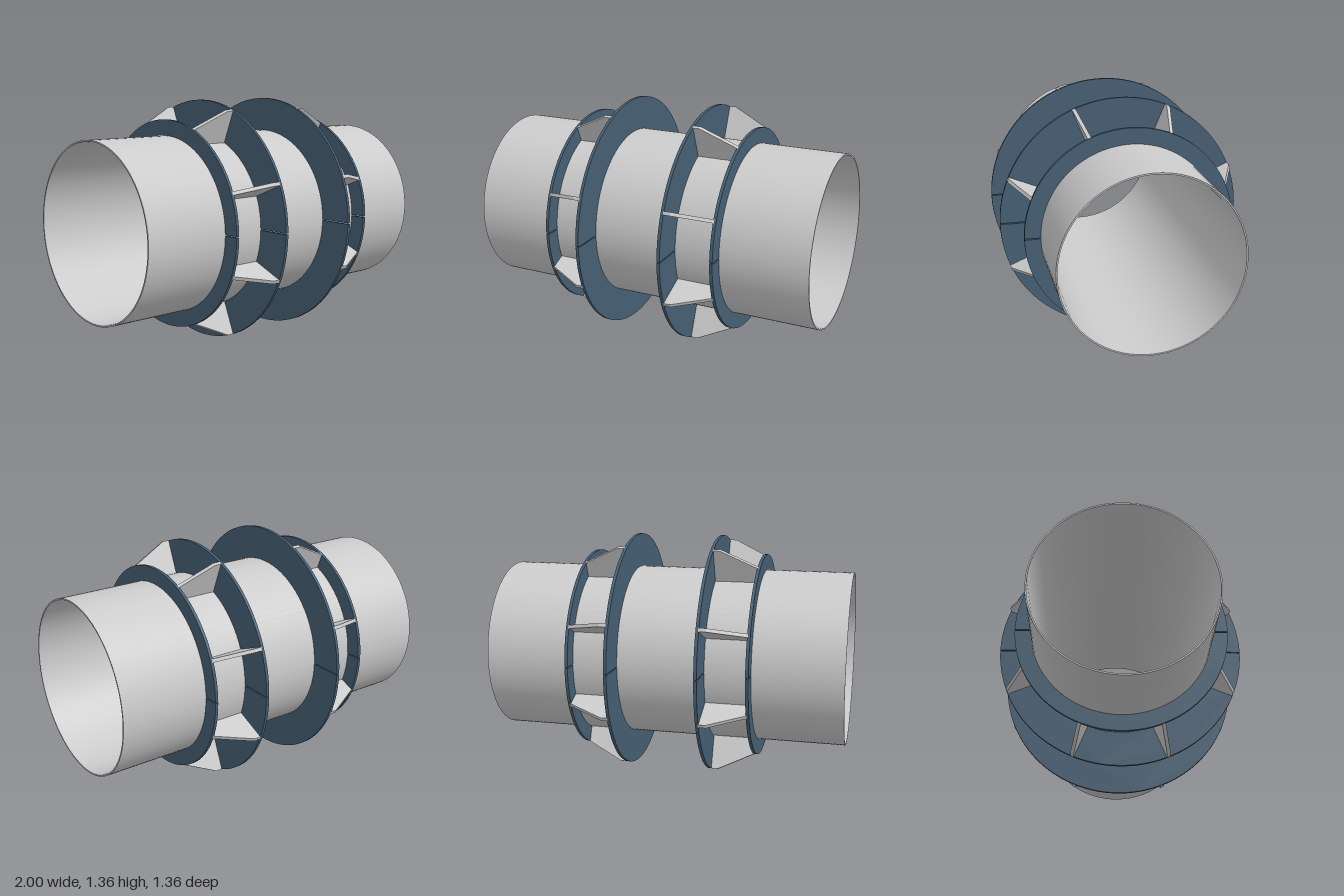
import * as THREE from 'three';

const AXIS_Y = 0.68;
const PIPE_R = 0.49, BORE_R = 0.482;
const BIG_R = 0.68, SMALL_R = 0.578;
const GAP = 0.006;

const grey = new THREE.MeshStandardMaterial({ color: 0xcccccc });
const greyInside = new THREE.MeshStandardMaterial({ color: 0xcccccc, side: THREE.BackSide });
const blue = new THREE.MeshStandardMaterial({ color: 0x465f73 });

function add(parent, name, geometry, material) {
  const mesh = new THREE.Mesh(geometry, material);
  mesh.name = name;
  parent.add(mesh);
  return mesh;
}

// Open tube along x with annular end faces
function makePipe() {
  const pipe = new THREE.Group();
  pipe.name = 'pipe';
  const wall = (r) => new THREE.CylinderGeometry(r, r, 2, 96, 1, true).rotateZ(Math.PI / 2);
  add(pipe, 'pipeOuterWall', wall(PIPE_R), grey);
  add(pipe, 'pipeInnerWall', wall(BORE_R), greyInside);
  for (const s of [1, -1]) {
    const end = new THREE.RingGeometry(BORE_R, PIPE_R, 96).rotateY(s * Math.PI / 2).translate(s, 0, 0);
    add(pipe, 'pipeEnd', end, grey);
  }
  return pipe;
}

// Upper half of a flange, extruded along x
function halfFlange(radius, x0, x1) {
  const a = Math.asin(GAP / 2 / radius), b = Math.asin(GAP / 2 / PIPE_R);
  const shape = new THREE.Shape();
  shape.absarc(0, 0, radius, a, Math.PI - a, false);
  shape.absarc(0, 0, PIPE_R, Math.PI - b, b, true);
  shape.closePath();
  return new THREE.ExtrudeGeometry(shape, { depth: x1 - x0, bevelEnabled: false, curveSegments: 36 })
    .rotateY(Math.PI / 2).translate(x0, 0, 0);
}

// Tapered rib between the two flanges, drawn in the x / radius plane
function ribGeometry() {
  const t = 0.02;
  const shape = new THREE.Shape([
    [0.25, 0.487], [0.495, 0.487], [0.495, SMALL_R], [0.29, BIG_R], [0.25, BIG_R],
  ].map(([x, y]) => new THREE.Vector2(x, y)));
  return new THREE.ExtrudeGeometry(shape, { depth: t, bevelEnabled: false }).translate(0, 0, -t / 2);
}

// One split collar: two flanges in halves joined by eight ribs
function makeCollar() {
  const collar = new THREE.Group();
  const flanges = [
    ['largeFlangeHalf', halfFlange(BIG_R, 0.236, 0.253)],
    ['smallFlangeHalf', halfFlange(SMALL_R, 0.49, 0.507)],
  ];
  for (const [name, geometry] of flanges) {
    for (const turn of [0, Math.PI]) add(collar, name, geometry, blue).rotation.x = turn;
  }
  const rib = ribGeometry();
  for (let i = 0; i < 8; i++) {
    add(collar, 'rib', rib, grey).rotation.x = (i + 0.5) * Math.PI / 4;
  }
  return collar;
}

export function createModel() {
  const model = new THREE.Group();
  model.name = 'collaredPipe';
  const body = new THREE.Group();
  body.name = 'body';
  body.position.y = AXIS_Y;
  model.add(body);
  body.add(makePipe());

  const leftCollar = makeCollar();
  leftCollar.name = 'leftCollar';
  const rightCollar = makeCollar();
  rightCollar.name = 'rightCollar';
  rightCollar.rotation.y = Math.PI;
  body.add(leftCollar, rightCollar);
  return model;
}
